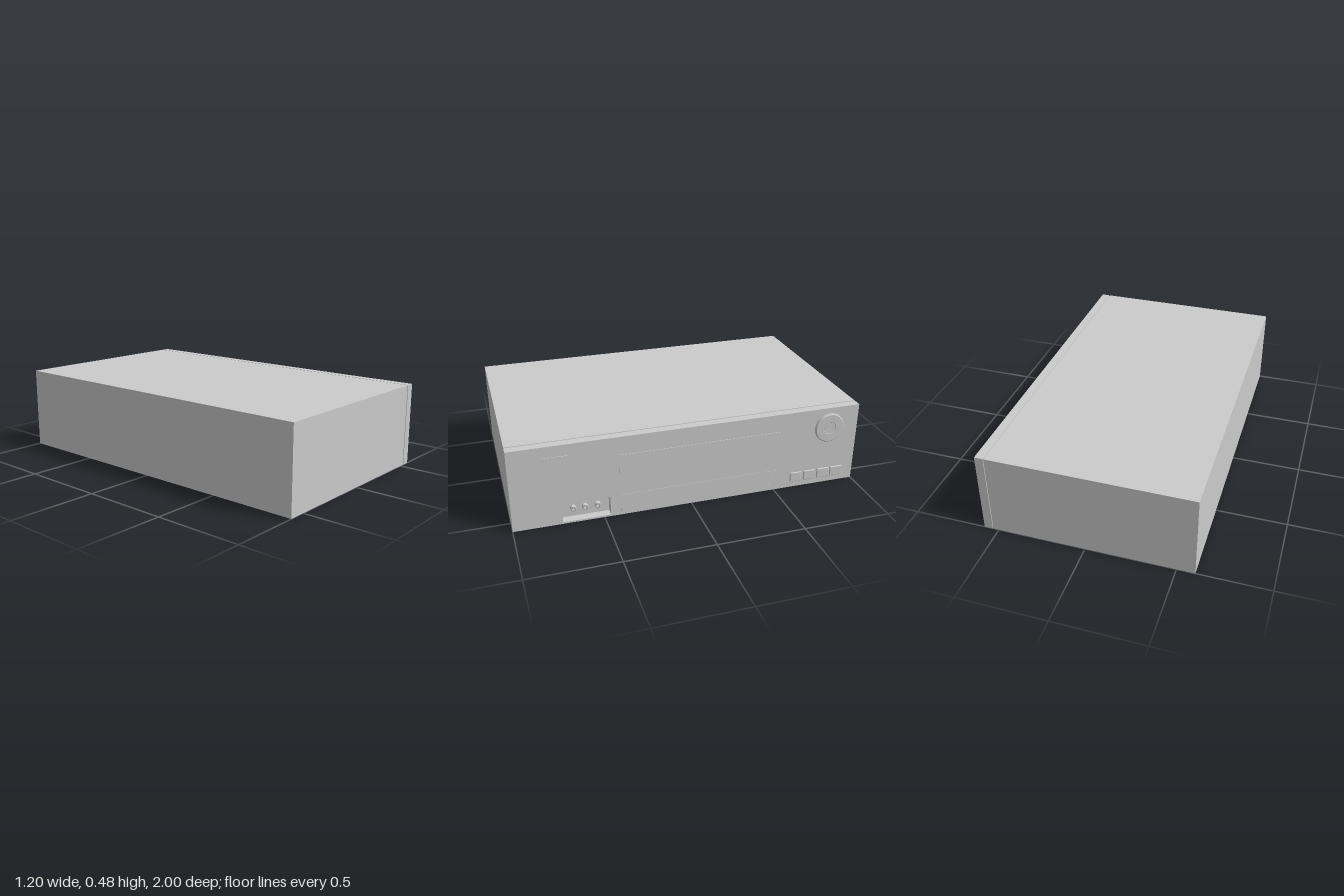
import * as THREE from 'three';
import { RoundedBoxGeometry } from 'three/addons/geometries/RoundedBoxGeometry.js';

const grey = new THREE.MeshStandardMaterial({ color: 0xcccccc });
const FACE = 0.585; // x of the fascia surface

export function createModel() {
  const group = new THREE.Group();
  const add = (name, geometry, x, y, z) => {
    const mesh = new THREE.Mesh(geometry, grey);
    mesh.name = name;
    mesh.position.set(x, y, z);
    group.add(mesh);
    return mesh;
  };
  // box given by its limits on each axis
  const box = (name, x0, x1, y0, y1, z0, z1) =>
    add(name, new THREE.BoxGeometry(x1 - x0, y1 - y0, z1 - z0),
      (x0 + x1) / 2, (y0 + y1) / 2, (z0 + z1) / 2);
  // cylinder or ring pointing out of the fascia
  const disc = (name, r, x0, x1, y, z, sides = 32) => {
    const g = new THREE.CylinderGeometry(r, r, x1 - x0, sides).rotateZ(-Math.PI / 2);
    return add(name, g, (x0 + x1) / 2, y, z);
  };
  const rect = (path, a0, a1, b0, b1) =>
    path.moveTo(a0, b0).lineTo(a1, b0).lineTo(a1, b1).lineTo(a0, b1).closePath();

  // main case and the set-back seam behind the fascia
  box('case', -0.6, 0.53, 0, 0.48, -1, 1);
  box('seam', 0.53, 0.537, 0.005, 0.475, -0.995, 0.995);

  // fascia with an opening for the sockets (shape x runs along -z)
  const panel = new THREE.Shape();
  rect(panel, -1, 1, 0, 0.48);
  const opening = new THREE.Path();
  rect(opening, -0.73, -0.465, 0.01, 0.12);
  panel.holes.push(opening);
  const fascia = new THREE.ExtrudeGeometry(panel, { depth: FACE - 0.536, bevelEnabled: false });
  add('fascia', fascia.rotateY(Math.PI / 2), 0.536, 0, 0);

  // sockets in the recess
  for (const z of [0.665, 0.6, 0.53]) {
    const profile = [[0.007, 0], [0.007, 0.02], [0.016, 0.02], [0.016, 0]]
      .map(([r, h]) => new THREE.Vector2(r, h));
    const ring = new THREE.LatheGeometry(profile.reverse(), 24).rotateZ(-Math.PI / 2);
    ring.computeVertexNormals();
    add('socket', ring, 0.537, 0.065, z);
    disc('socketPin', 0.004, 0.537, 0.555, 0.065, z, 12);
  }

  // tape door, lower flap with finger notches, power button
  box('tapeDoor', 0.57, FACE + 0.003, 0.197, 0.373, -0.53, 0.41);
  box('lowerFlap', 0.57, FACE + 0.0015, 0.015, 0.128, -0.525, 0.405);
  for (const [z, s] of [[0.345, -1], [-0.475, 1]]) {
    box('flapNotch', 0.58, FACE + 0.003, 0.024, 0.045, z - 0.011, z + 0.011);
    box('flapMark', 0.58, FACE + 0.003, 0.085, 0.095, z - s * 0.012 - 0.005, z - s * 0.012 + 0.005);
  }
  box('powerButton', 0.57, FACE + 0.003, 0.357, 0.415, 0.69, 0.815);

  // row of control buttons
  for (const [z0, z1] of [[-0.67, -0.6], [-0.755, -0.685], [-0.845, -0.77], [-0.935, -0.855]]) {
    const g = new RoundedBoxGeometry(0.022, 0.058, z1 - z0, 2, 0.004);
    add('controlButton', g, FACE - 0.003, 0.066, (z0 + z1) / 2);
  }

  // jog dial: chamfered rim, centre cap and pointer
  const rim = [[0, 0], [0.087, 0], [0.087, 0.011], [0.082, 0.015], [0.038, 0.015],
    [0.036, 0.013], [0, 0.013]].map(([r, h]) => new THREE.Vector2(r, h));
  const dial = new THREE.LatheGeometry(rim, 40).toNonIndexed();
  dial.computeVertexNormals();
  add('jogDial', dial.rotateZ(-Math.PI / 2), FACE, 0.36, -0.82);
  disc('dialCap', 0.033, FACE, 0.6, 0.36, -0.82);
  box('dialPointer', FACE, 0.601, 0.279, 0.305, -0.823, -0.817);

  return group;
}
